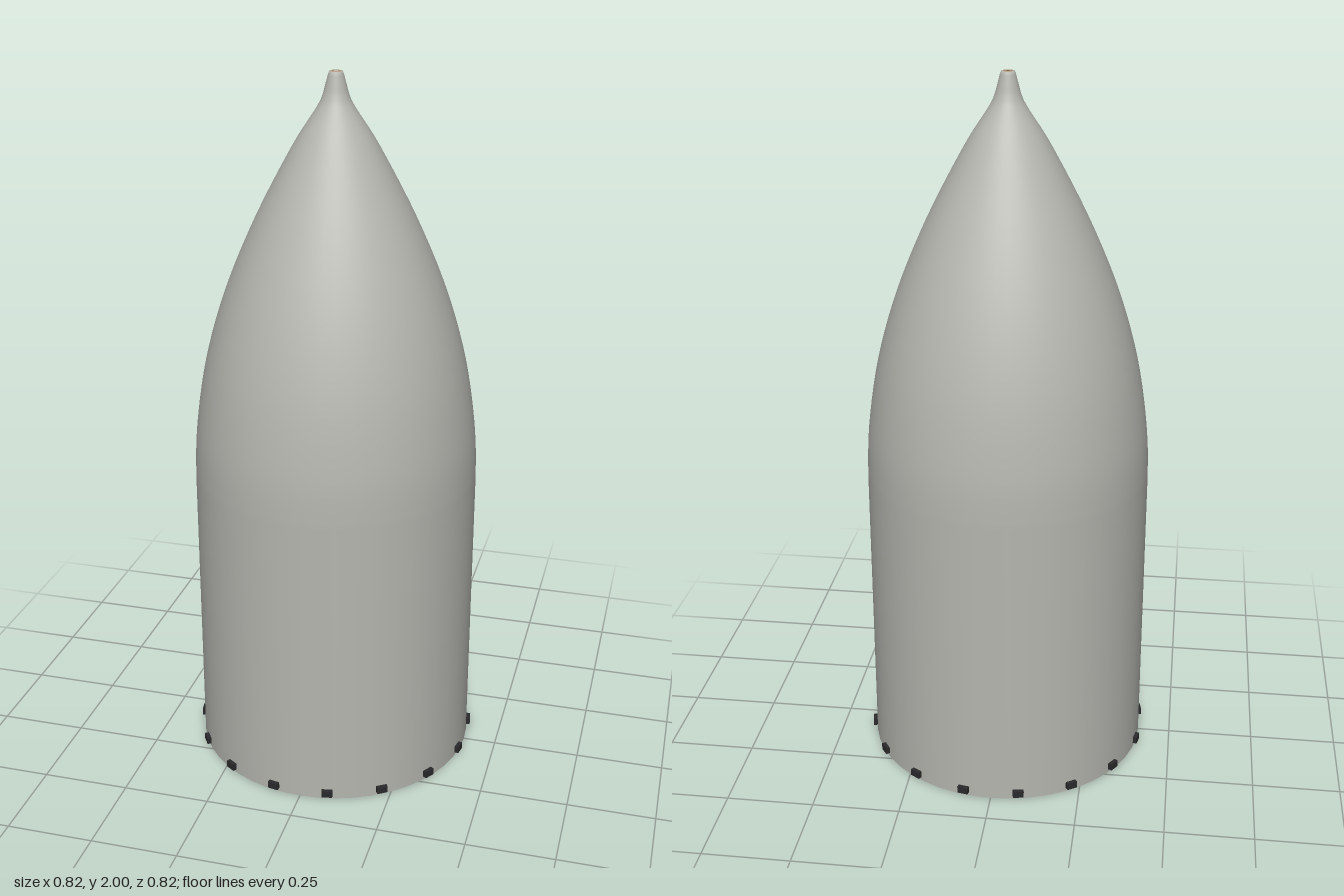
import * as THREE from 'three';

const SEGMENTS = 48;
const BOLTS = 16;
const RADIUS = 0.405;
const WALL = 0.008;

const mat = (color, side = THREE.FrontSide) =>
  new THREE.MeshStandardMaterial({ color, side });

function addMesh(parent, name, geometry, material) {
  const mesh = new THREE.Mesh(geometry, material);
  mesh.name = name;
  parent.add(mesh);
  return mesh;
}

// Ogive from the straight wall up to the neck, as radius and height
function ogivePoints() {
  const knots = [
    [RADIUS, 0.86], [0.398, 1.0], [0.366, 1.2], [0.308, 1.4],
    [0.224, 1.6], [0.119, 1.8], [0.055, 1.9], [0.037, 1.935],
    [0.027, 1.97], [0.021, 1.993],
  ].map(([r, y]) => new THREE.Vector2(r, y));
  return new THREE.SplineCurve(knots).getPoints(45);
}

export function createModel() {
  const group = new THREE.Group();
  const shellMat = mat(0xb6b6b0);
  const linerMat = mat(0xb08a64, THREE.DoubleSide);
  const boltMat = mat(0x2a2a2c);
  const ogive = ogivePoints();

  // Outer skin: straight barrel, ogive and small blunt neck
  const outer = [
    new THREE.Vector2(RADIUS, 0),
    ...ogive,
    new THREE.Vector2(0.018, 2),
    new THREE.Vector2(0.014, 2),
  ];
  addMesh(group, 'outerShell', new THREE.LatheGeometry(outer, SEGMENTS), shellMat);

  // Inner lining, following the skin and ending in a small hole at the tip
  const inner = [
    new THREE.Vector2(RADIUS - WALL, 0),
    ...ogive.map((p) => new THREE.Vector2(Math.max(p.x - WALL, 0.005), p.y)),
    new THREE.Vector2(0.005, 1.999),
  ];
  addMesh(group, 'innerLining', new THREE.LatheGeometry(inner, SEGMENTS), linerMat);

  // Ring around the tip hole
  const tipRing = addMesh(group, 'tipRing', new THREE.RingGeometry(0.005, 0.014, 24), linerMat);
  tipRing.rotation.x = -Math.PI / 2;
  tipRing.position.y = 2;

  // Flat rim closing the wall at the open base
  const rim = addMesh(group, 'baseRim',
    new THREE.RingGeometry(RADIUS - WALL, RADIUS, SEGMENTS), shellMat);
  rim.rotation.x = Math.PI / 2;

  // Separation blocks spaced around the base
  const blocks = new THREE.Group();
  blocks.name = 'separationBlocks';
  group.add(blocks);
  const blockGeo = new THREE.BoxGeometry(0.031, 0.02, 0.018);
  for (let i = 0; i < BOLTS; i++) {
    const a = ((i + 0.5) / BOLTS) * Math.PI * 2;
    const block = addMesh(blocks, `separationBlock${i + 1}`, blockGeo, boltMat);
    block.position.set(Math.sin(a) * 0.407, 0.02, Math.cos(a) * 0.407);
    block.rotation.y = a;
  }

  return group;
}
